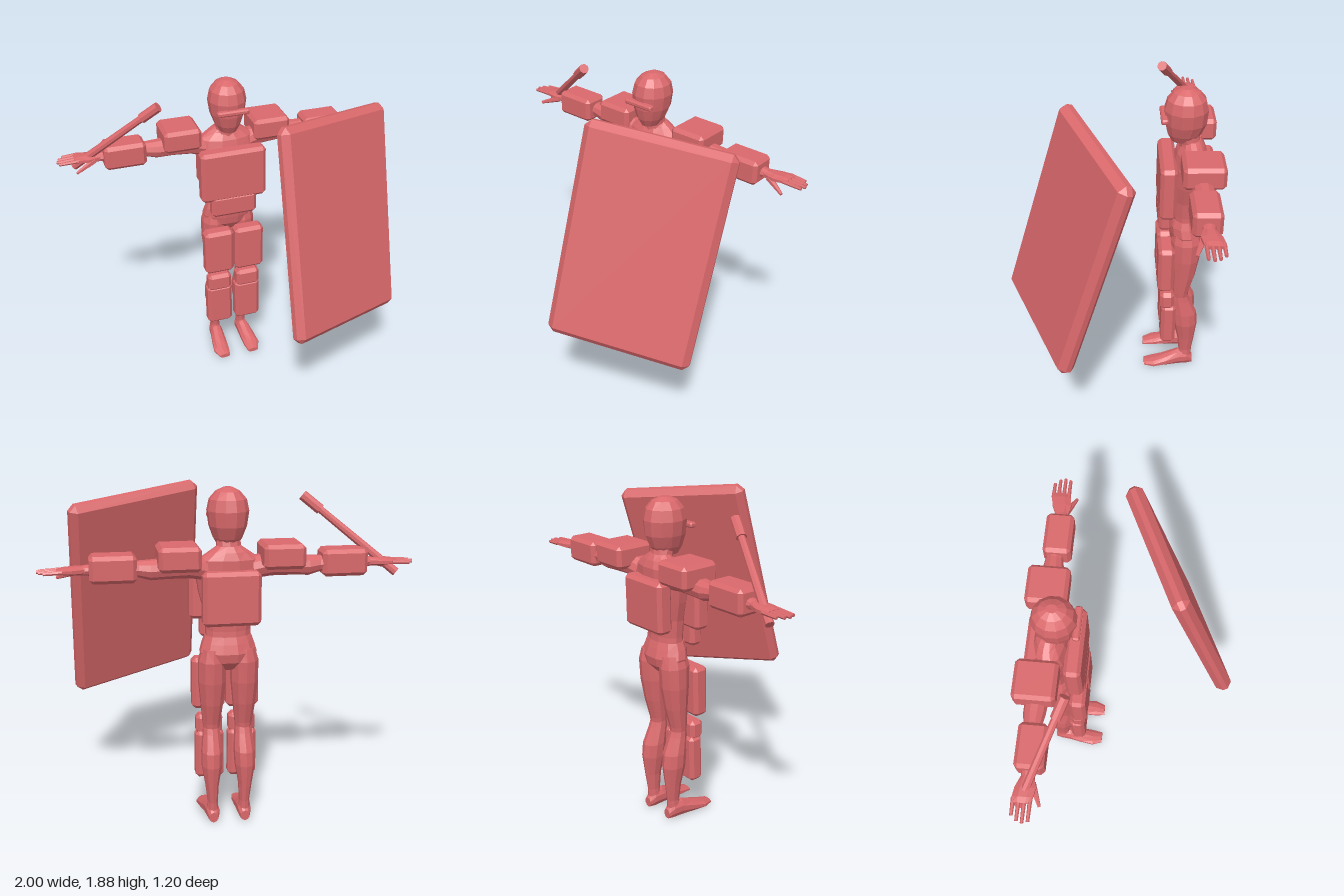
import * as THREE from 'three';
import { ConvexGeometry } from 'three/addons/geometries/ConvexGeometry.js';

const red = new THREE.MeshStandardMaterial({ color: 0xd9686b, flatShading: true });
red.name = 'red';

// Closed faceted loft. Ring: [position along axis, centre u, centre v, radius u, radius v]
function loft(axis, rings, n = 10) {
  const place = {
    x: (t, u, v) => [t, u, v],
    y: (t, u, v) => [u, t, v],
    z: (t, u, v) => [u, v, t],
  }[axis];
  const pts = [], idx = [];
  for (const [t, cu, cv, ru, rv] of rings) {
    for (let i = 0; i < n; i++) {
      const a = ((i + 0.5) / n) * Math.PI * 2;
      pts.push(...place(t, cu + ru * Math.cos(a), cv + rv * Math.sin(a)));
    }
  }
  const last = rings.length - 1;
  for (let r = 0; r < last; r++) {
    for (let i = 0; i < n; i++) {
      const a = r * n + i, b = r * n + ((i + 1) % n);
      idx.push(a, b, a + n, b, b + n, a + n);
    }
  }
  for (let i = 1; i < n - 1; i++) {
    idx.push(0, i + 1, i, last * n, last * n + i, last * n + i + 1);
  }
  // Turn the faces outward whichever way the rings run
  const p = (i) => new THREE.Vector3().fromArray(pts, i * 3);
  let volume = 0;
  for (let i = 0; i < idx.length; i += 3) {
    volume += p(idx[i]).dot(p(idx[i + 1]).cross(p(idx[i + 2])));
  }
  if (volume < 0) idx.reverse();
  const g = new THREE.BufferGeometry();
  g.setAttribute('position', new THREE.Float32BufferAttribute(pts, 3));
  g.setIndex(idx);
  const flat = g.toNonIndexed();
  flat.computeVertexNormals();
  return flat;
}

// Box with flat bevelled edges and corners
function bevelBox(w, h, d, c) {
  const pts = [];
  for (const x of [-1, 1]) for (const y of [-1, 1]) for (const z of [-1, 1]) {
    for (let k = 0; k < 3; k++) {
      const cut = [c, c, c];
      cut[k] = 0;
      pts.push(new THREE.Vector3(x * (w / 2 - cut[0]), y * (h / 2 - cut[1]), z * (d / 2 - cut[2])));
    }
  }
  return new ConvexGeometry(pts);
}

export function createModel() {
  const model = new THREE.Group();
  model.name = 'armouredFigure';

  const add = (name, geometry) => {
    const mesh = new THREE.Mesh(geometry, red);
    mesh.name = name;
    model.add(mesh);
    return mesh;
  };
  // Armour plate given by its extents
  const plate = (name, [x0, x1], [y0, y1], [z0, z1], c = 0.02) =>
    add(name, bevelBox(Math.abs(x1 - x0), y1 - y0, z1 - z0, c))
      .position.set((x0 + x1) / 2, (y0 + y1) / 2, (z0 + z1) / 2);
  // Tapered rod from a to b
  const rod = (name, a, b, r0, r1, sides = 6) => {
    const from = new THREE.Vector3(...a), to = new THREE.Vector3(...b);
    const dir = to.clone().sub(from);
    const mesh = add(name, new THREE.CylinderGeometry(r1, r0, dir.length(), sides));
    mesh.position.copy(from).addScaledVector(dir, 0.5);
    mesh.quaternion.setFromUnitVectors(new THREE.Vector3(0, 1, 0), dir.normalize());
  };

  // Head, neck and trunk
  add('head', loft('y', [
    [1.57, 0, -0.4, 0.05, 0.065], [1.615, 0, -0.405, 0.078, 0.095], [1.68, 0, -0.41, 0.102, 0.117],
    [1.76, 0, -0.41, 0.113, 0.123], [1.82, 0, -0.41, 0.1, 0.108], [1.86, 0, -0.41, 0.065, 0.075],
    [1.88, 0, -0.41, 0.025, 0.03],
  ], 12));
  add('neck', loft('y', [
    [1.5, 0, -0.45, 0.08, 0.07], [1.56, 0, -0.44, 0.068, 0.06], [1.64, 0, -0.42, 0.065, 0.06],
  ]));
  add('torso', loft('y', [
    [1.04, 0, -0.43, 0.125, 0.08], [1.12, 0, -0.425, 0.125, 0.077], [1.22, 0, -0.425, 0.135, 0.08],
    [1.33, 0, -0.43, 0.165, 0.09], [1.44, 0, -0.44, 0.185, 0.095], [1.51, 0, -0.45, 0.17, 0.085],
    [1.55, 0, -0.455, 0.11, 0.065], [1.58, 0, -0.45, 0.065, 0.05],
  ], 12));
  add('pelvis', loft('y', [
    [0.9, 0, -0.43, 0.05, 0.05], [0.95, 0, -0.435, 0.145, 0.09], [1.0, 0, -0.435, 0.16, 0.1],
    [1.05, 0, -0.425, 0.145, 0.095], [1.09, 0, -0.425, 0.13, 0.08],
  ], 12));
  plate('visor', [-0.095, 0.095], [1.705, 1.735], [-0.31, -0.27], 0.008);
  plate('chestPlate', [-0.2, 0.2], [1.16, 1.48], [-0.365, -0.27]);
  plate('backPlate', [-0.155, 0.155], [1.17, 1.46], [-0.585, -0.49]);
  plate('bellyPlate', [-0.14, 0.14], [1.05, 1.19], [-0.35, -0.27]);

  for (const s of [1, -1]) {
    const side = s > 0 ? 'left' : 'right';

    // Leg and foot
    add(side + 'Thigh', loft('y', [
      [1.02, s * 0.09, -0.44, 0.055, 0.075], [0.95, s * 0.09, -0.44, 0.077, 0.09],
      [0.83, s * 0.09, -0.44, 0.077, 0.083], [0.7, s * 0.09, -0.433, 0.064, 0.068],
      [0.58, s * 0.09, -0.42, 0.05, 0.05], [0.54, s * 0.09, -0.42, 0.045, 0.046],
    ]));
    add(side + 'Calf', loft('y', [
      [0.58, s * 0.09, -0.415, 0.045, 0.042], [0.52, s * 0.09, -0.425, 0.05, 0.055],
      [0.42, s * 0.092, -0.452, 0.06, 0.073], [0.34, s * 0.094, -0.46, 0.058, 0.073],
      [0.22, s * 0.094, -0.468, 0.038, 0.052], [0.12, s * 0.09, -0.468, 0.029, 0.04],
      [0.07, s * 0.09, -0.468, 0.033, 0.04],
    ]));
    add(side + 'Foot', loft('z', [
      [-0.515, s * 0.09, 0.036, 0.026, 0.03], [-0.48, s * 0.09, 0.055, 0.038, 0.055],
      [-0.42, s * 0.093, 0.055, 0.042, 0.055], [-0.35, s * 0.099, 0.04, 0.048, 0.04],
      [-0.27, s * 0.105, 0.025, 0.052, 0.025], [-0.21, s * 0.098, 0.017, 0.036, 0.014],
    ]));
    plate(side + 'ThighPlate', [s * 0.005, s * 0.188], [0.64, 0.935], [-0.37, -0.275]);
    plate(side + 'KneePlate', [s * 0.018, s * 0.168], [0.49, 0.605], [-0.38, -0.295]);
    plate(side + 'ShinPlate', [s * 0.012, s * 0.173], [0.23, 0.51], [-0.393, -0.305]);

    // Arm and hand
    add(side + 'Arm', loft('x', [
      [s * 0.12, 1.46, -0.455, 0.06, 0.07], [s * 0.22, 1.485, -0.47, 0.068, 0.075],
      [s * 0.32, 1.475, -0.48, 0.056, 0.063], [s * 0.42, 1.47, -0.485, 0.054, 0.06],
      [s * 0.48, 1.477, -0.485, 0.044, 0.05], [s * 0.56, 1.48, -0.485, 0.048, 0.058],
      [s * 0.66, 1.48, -0.48, 0.038, 0.046], [s * 0.77, 1.477, -0.475, 0.025, 0.034],
    ]));
    add(side + 'Palm', loft('x', [
      [s * 0.75, 1.477, -0.475, 0.025, 0.034], [s * 0.82, 1.478, -0.482, 0.023, 0.058],
      [s * 0.87, 1.48, -0.49, 0.018, 0.058], [s * 0.9, 1.478, -0.492, 0.012, 0.053],
    ], 8));
    [0.965, 0.99, 1, 0.99].forEach((tip, i) => {
      const z = -0.536 + i * 0.029;
      rod(side + 'Finger' + (i + 1), [s * 0.87, 1.48, z], [s * tip, 1.475, z], 0.012, 0.009);
    });
    rod(side + 'Thumb', [s * 0.79, 1.47, -0.45], [s * 0.9, 1.428, -0.405], 0.02, 0.009);
    plate(side + 'ShoulderPad', [s * 0.162, s * 0.385], [1.47, 1.6], [-0.605, -0.375]);
    plate(side + 'ForearmPad', [s * 0.49, s * 0.735], [1.412, 1.555], [-0.55, -0.395]);
  }

  // Baton with a thicker tip
  rod('batonShaft', [-0.9, 1.42, -0.515], [-0.5, 1.757, -0.332], 0.024, 0.02, 8);
  rod('batonTip', [-0.52, 1.74, -0.341], [-0.43, 1.815, -0.3], 0.029, 0.029, 8);

  // Large shield floating in front, leaning back and turned to one side
  const shield = add('shield', bevelBox(0.82, 1.23, 0.1, 0.035));
  shield.position.set(0.452, 1.21, 0.24);
  shield.rotation.set(-0.28, 0.424, 0);

  return model;
}
